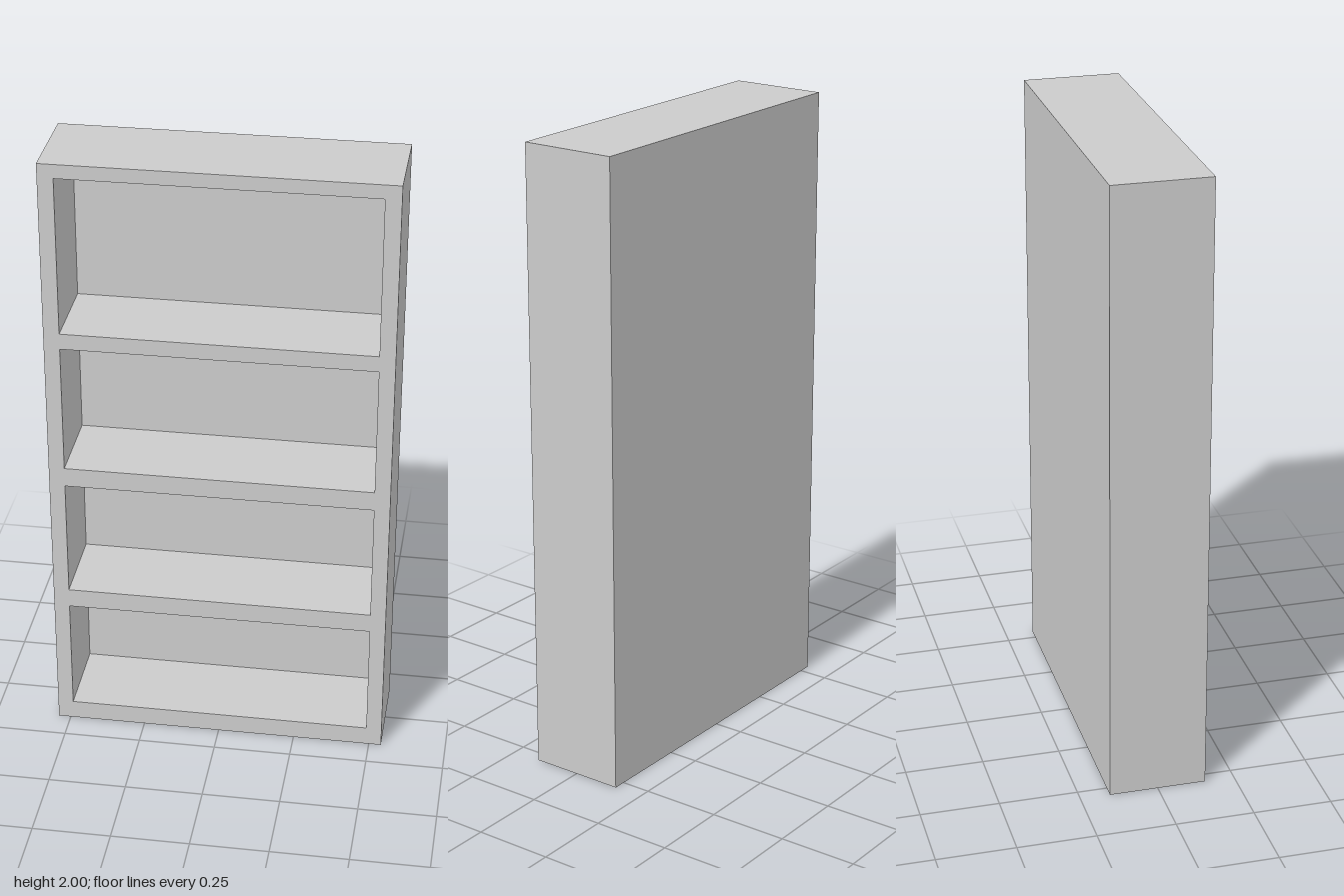
import * as THREE from 'three';

const W = 0.54, H = 2, D = 0.155;   // half width, height, half depth
const IN = 0.49;                    // half width of the openings
const BACK = 0.03;                  // back panel thickness
const RECESS = 0.056;               // hollow under the bottom shelf
const OPENINGS = [[0.063, 0.445], [0.508, 0.9], [0.964, 1.388], [1.44, 1.955]];

export function createModel() {
  const group = new THREE.Group();
  group.name = 'bookcase';
  const material = new THREE.MeshStandardMaterial({ color: 0xcccccc, flatShading: true });

  const add = (name, geometry, x, y, z) => {
    const mesh = new THREE.Mesh(geometry, material);
    mesh.name = name;
    mesh.position.set(x, y, z);
    group.add(mesh);
  };
  const points = (list) => list.map(([x, y]) => new THREE.Vector2(x, y));

  // Sides, top and shelves as one frame, notched underneath
  const frame = new THREE.Shape(points([
    [-W, 0], [-IN, 0], [-IN, RECESS], [IN, RECESS], [IN, 0], [W, 0], [W, H], [-W, H],
  ]));
  for (const [y0, y1] of OPENINGS) {
    frame.holes.push(new THREE.Path(points([[-IN, y0], [-IN, y1], [IN, y1], [IN, y0]])));
  }
  const depth = 2 * D - BACK;
  add('shelfFrame', new THREE.ExtrudeGeometry(frame, { depth, bevelEnabled: false }), 0, 0, BACK - D);

  // Panel closing the back
  add('backPanel', new THREE.BoxGeometry(2 * W, H, BACK), 0, H / 2, BACK / 2 - D);

  // Thin kick board hiding the hollow under the bottom shelf
  add('kickBoard', new THREE.BoxGeometry(2 * IN, RECESS, 0.006), 0, RECESS / 2, D - 0.003);

  return group;
}
